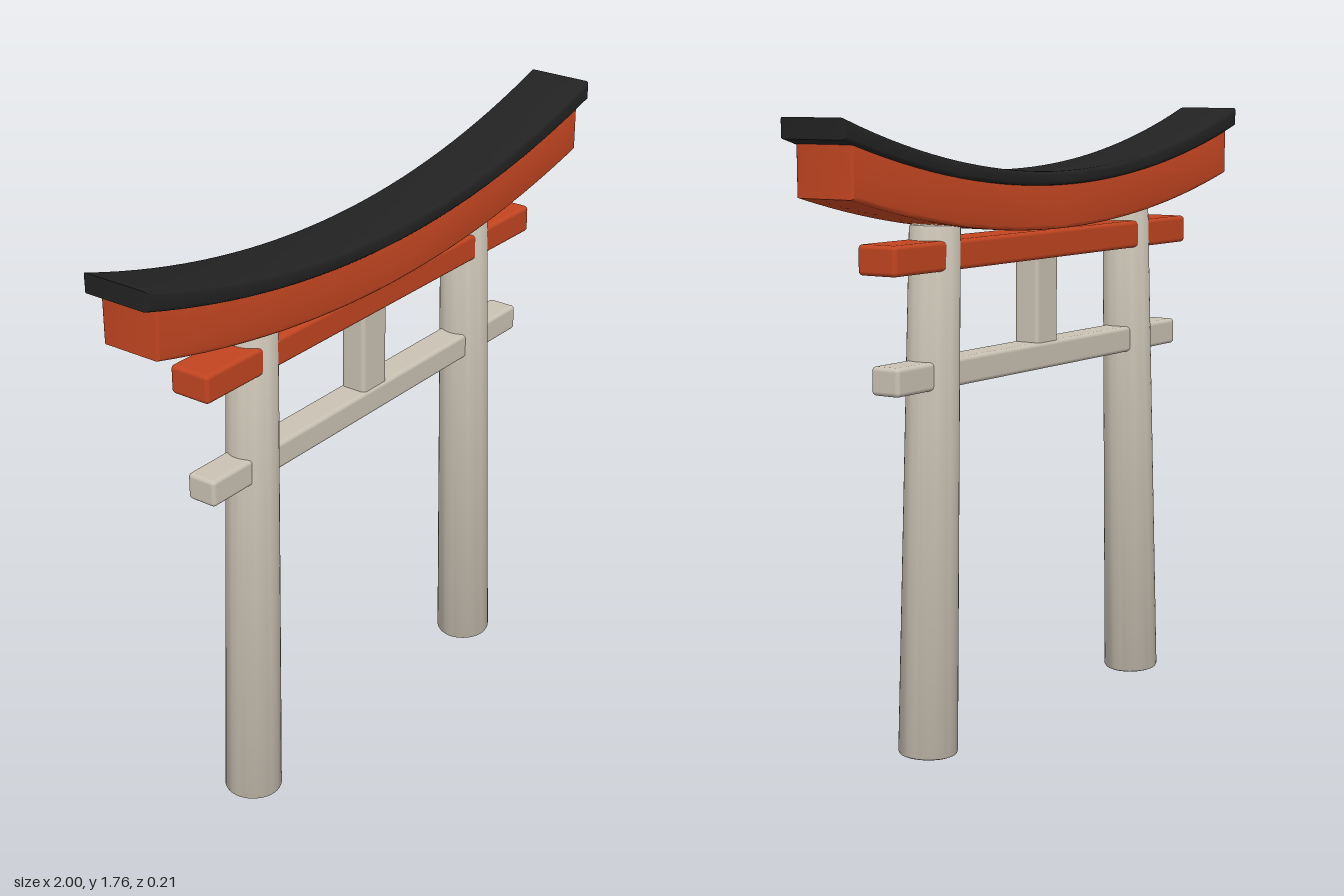
import * as THREE from 'three';
import { toCreasedNormals } from 'three/addons/utils/BufferGeometryUtils.js';
import { RoundedBoxGeometry } from 'three/addons/geometries/RoundedBoxGeometry.js';

const material = (name, color) => {
  const m = new THREE.MeshStandardMaterial({ color });
  m.name = name;
  return m;
};

// Curved beam: parabolic lower and upper edges, extruded through its depth
function curvedBeam(halfLength, halfDepth, bottom, top) {
  const n = 32, bevel = 0.01, lower = [], upper = [];
  for (let i = 0; i <= n; i++) {
    const x = halfLength * (2 * i / n - 1);
    lower.push(new THREE.Vector2(x, bottom(x)));
    upper.unshift(new THREE.Vector2(x, top(x)));
  }
  const geo = new THREE.ExtrudeGeometry(new THREE.Shape([...lower, ...upper]), {
    depth: 2 * (halfDepth - bevel), bevelEnabled: true, bevelThickness: bevel,
    bevelSize: bevel, bevelOffset: -bevel, bevelSegments: 3,
  });
  geo.translate(0, 0, -(halfDepth - bevel));
  return toCreasedNormals(geo, 0.6);
}

export function createModel() {
  const stone = material('pale stone', 0xc9c1b3);
  const red = material('vermilion', 0xc24521);
  const black = material('roof black', 0x222222);
  const group = new THREE.Group();
  const add = (name, geo, mat, x = 0, y = 0) => {
    const mesh = new THREE.Mesh(geo, mat);
    mesh.name = name;
    mesh.position.set(x, y, 0);
    group.add(mesh);
    return mesh;
  };

  // Tapered pillars leaning inwards, with softened rims
  const profile = [[0, 0], [0.074, 0], [0.08, 0.003], [0.083, 0.009], [0.07, 1.46], [0.067, 1.467], [0.06, 1.47], [0, 1.47]]
    .map(([r, y]) => new THREE.Vector2(r, y));
  const pillar = toCreasedNormals(new THREE.LatheGeometry(profile, 40), 0.6);
  for (const side of [-1, 1]) {
    const mesh = add(side > 0 ? 'leftPillar' : 'rightPillar', pillar, stone, side * 0.541, 0.003);
    mesh.rotation.z = side * 0.034;
  }

  // Straight crossbeams and centre strut
  const box = (w, h, d) => new RoundedBoxGeometry(w, h, d, 3, 0.012);
  add('lowerCrossbeam', box(1.44, 0.078, 0.092), stone, 0, 1.067);
  add('centreStrut', box(0.11, 0.29, 0.08), stone, 0, 1.225);
  add('upperCrossbeam', box(1.5, 0.082, 0.126), red, 0, 1.39);

  // Curved lintel and the roof cap resting on it
  add('lintel', curvedBeam(0.955, 0.093, x => 1.435 + 0.137 * x * x, x => 1.575 + 0.15 * x * x), red);
  add('roofCap', curvedBeam(1, 0.105, x => 1.56 + 0.15 * x * x, x => 1.6 + 0.165 * x * x), black);
  return group;
}
